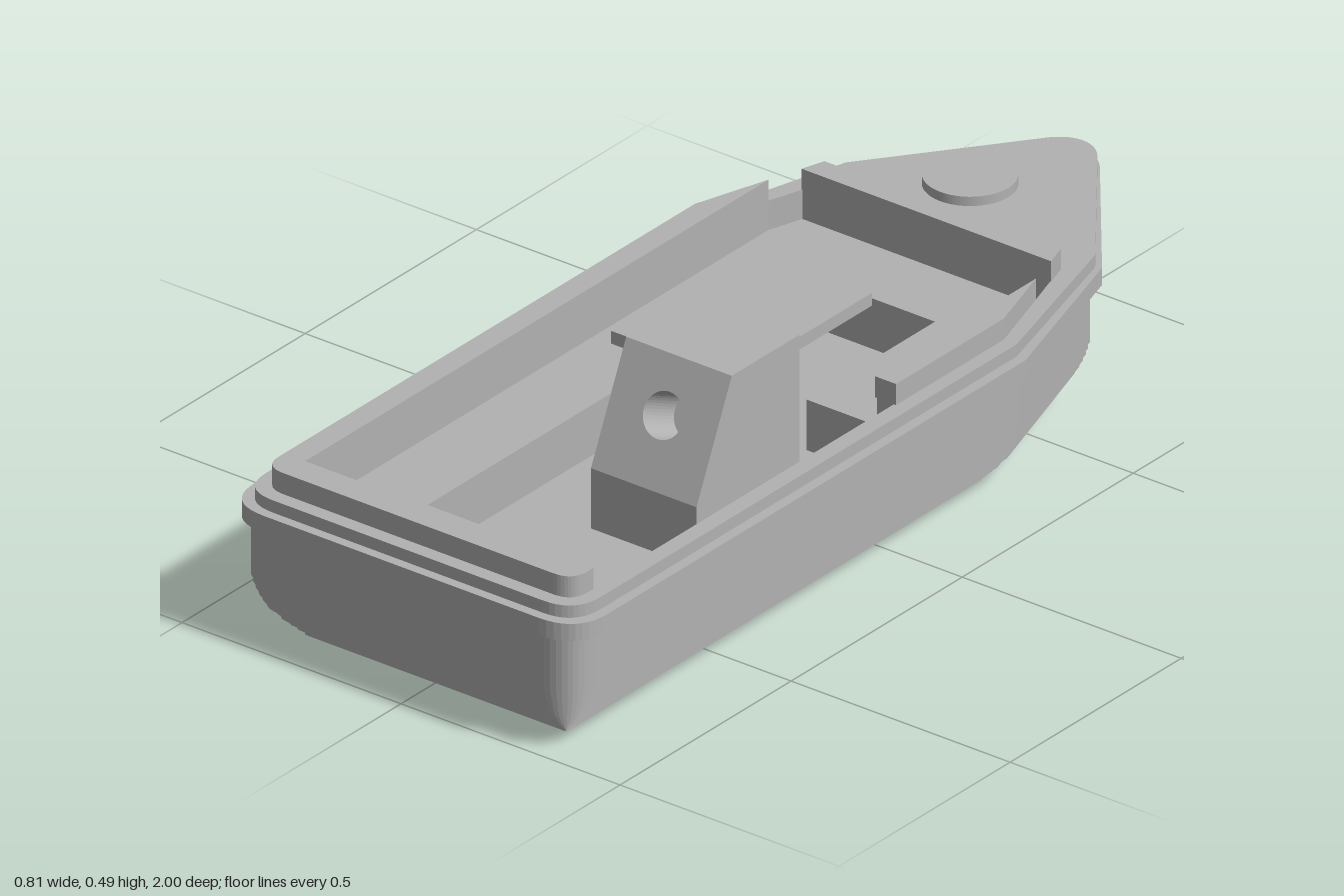
import * as THREE from 'three';

const hullGrey = new THREE.MeshStandardMaterial({ color: 0xb2b2b2 });
hullGrey.name = 'hull grey';

// Plan outlines are given in (x, z); shapes use v = -z so extrusion runs up y.
const path = (pts, Type = THREE.Shape) => new Type(pts.map(([x, z]) => new THREE.Vector2(x, -z)));

function slab(shape, y0, y1) {
  const g = new THREE.ExtrudeGeometry(shape, { depth: y1 - y0, bevelEnabled: false, curveSegments: 10 });
  return g.rotateX(-Math.PI / 2).translate(0, y0, 0);
}

// Boat outline: half width, stern, bow, forward shoulder and stern corner radius
function boatOutline(w, stern, bow, kx, kz, r) {
  const s = new THREE.Shape();
  s.moveTo(-w + r, -stern);
  s.lineTo(w - r, -stern);
  s.quadraticCurveTo(w, -stern, w, -stern + r);
  s.lineTo(w, 0.31);
  s.lineTo(kx, -kz);
  s.lineTo(0.055, -bow - 0.028);
  s.quadraticCurveTo(0.03, -bow, 0, -bow);
  s.quadraticCurveTo(-0.03, -bow, -0.055, -bow - 0.028);
  s.lineTo(-kx, -kz);
  s.lineTo(-w, 0.31);
  s.lineTo(-w, -stern + r);
  s.quadraticCurveTo(-w, -stern, -w + r, -stern);
  return s;
}

// Stern and right-hand bulwark in one piece
function bulwarkOutline() {
  const s = new THREE.Shape();
  const w = 0.353, stern = 0.95, r = 0.045;
  s.moveTo(w, -0.89);
  s.lineTo(w, -stern + r);
  s.quadraticCurveTo(w, -stern, w - r, -stern);
  s.lineTo(-w + r, -stern);
  s.quadraticCurveTo(-w, -stern, -w, -stern + r);
  s.lineTo(-w, 0.31);
  s.lineTo(-0.305, 0.465);
  s.lineTo(-0.305, -0.89);
  return s;
}

const cockpit = [[-0.305, 0.89], [0.348, 0.89], [0.348, 0], [0.305, 0], [0.305, -0.465],
  [0.283, -0.535], [-0.283, -0.535], [-0.305, -0.465]];
const footwell = [[-0.147, 0.735], [0.348, 0.735], [0.348, 0], [0.145, 0], [0.145, -0.375], [-0.147, -0.375]];

export function createModel() {
  const boat = new THREE.Group();
  boat.name = 'boat';
  const add = (name, geometry, parent = boat) => {
    const m = new THREE.Mesh(geometry, hullGrey);
    m.name = name;
    parent.add(m);
  };

  // Stepped hull: thin layers that widen upward around the footwell
  const hull = new THREE.Group();
  hull.name = 'hull';
  boat.add(hull);
  const widths = [0.3, 0.312, 0.325, 0.338, 0.347, 0.36, 0.367, 0.373, 0.378, 0.382];
  const layers = 19, step = 0.245 / layers, socketLayers = 6, floorLayers = 11;
  for (let i = 0; i < layers; i++) {
    const w = widths[i] ?? 0.385, u = (w - 0.3) / 0.085, y = i * step;
    const bow = -(0.786 + 1.55 * y - 3.2 * y * y);
    const s = boatOutline(w, 0.9 + 0.085 * u, bow, 0.2 + 0.08 * u, -0.61 - 0.045 * u, 0.005 + 0.065 * u);
    if (i < socketLayers) {
      // blind sockets in the bottom
      for (const z of [0.57, -0.185]) s.holes.push(new THREE.Path().absarc(0, -z, 0.043, 0, Math.PI * 2, true));
    } else if (i >= floorLayers) {
      s.holes.push(path(footwell, THREE.Path));
    }
    add('hullLayer', slab(s, y, y + step), hull);
  }

  // Rub rail and deck edge around the cockpit
  const rail = boatOutline(0.403, 1, -1, 0.296, -0.67, 0.09);
  const deck = boatOutline(0.382, 0.98, -0.993, 0.285, -0.664, 0.075);
  for (const s of [rail, deck]) s.holes.push(path(cockpit, THREE.Path));
  add('rubRail', slab(rail, 0.245, 0.28));
  add('deck', slab(deck, 0.28, 0.305));

  // Bulwarks: the left side stands only forward of the boarding opening
  add('sternBulwark', slab(bulwarkOutline(), 0.305, 0.348));
  add('leftBulwark', slab(path([[0.353, 0.005], [0.353, -0.31], [0.305, -0.465], [0.305, 0.005]]), 0.305, 0.348));
  add('foredeckBar', slab(path([[-0.285, -0.535], [0.285, -0.535], [0.27, -0.583], [-0.27, -0.583]]), 0.305, 0.347));

  // Round hatch on the foredeck
  add('hatch', new THREE.CylinderGeometry(0.087, 0.087, 0.02, 48).translate(-0.06, 0.314, -0.74));

  // Table on a post
  const floor = floorLayers * step;
  add('tableTop', new THREE.BoxGeometry(0.282, 0.026, 0.403).translate(-0.043, 0.328, -0.05));
  add('tablePost', new THREE.BoxGeometry(0.05, 0.315 - floor, 0.05).translate(-0.035, (0.315 + floor) / 2, -0.045));

  // Console: a body notched behind its sloping face, and a bored panel filling the notch
  const helm = new THREE.Group();
  helm.name = 'console';
  boat.add(helm);
  const x0 = 0.022, x1 = 0.263, top = [0.37, 0.49], foot = [0.473, 0.265], d = 0.1;
  const len = Math.hypot(foot[0] - top[0], foot[1] - top[1]);
  const ny = (foot[0] - top[0]) / len, nz = (top[1] - foot[1]) / len; // outward normal of the slope
  const profile = [[0.172, 0.49], top, [top[0] - nz * d, top[1] - ny * d],
    [foot[0] - nz * d, foot[1] - ny * d], foot, [foot[0], floor], [0.172, floor]];
  const body = new THREE.ExtrudeGeometry(
    new THREE.Shape(profile.map(([z, y]) => new THREE.Vector2(-z, y))), { depth: x1 - x0, bevelEnabled: false });
  add('consoleBody', body.rotateY(Math.PI / 2).translate(x0, 0, 0), helm);

  const face = new THREE.Shape([[x0, 0], [x1, 0], [x1, len], [x0, len]].map(p => new THREE.Vector2(...p)));
  face.holes.push(new THREE.Path().absarc(0.143, len * 0.55, 0.0445, 0, Math.PI * 2, true));
  const panel = new THREE.ExtrudeGeometry(face, { depth: d, bevelEnabled: false, curveSegments: 24 });
  panel.translate(0, 0, -d).rotateX(-Math.atan2(ny, nz)).translate(0, foot[1], foot[0]);
  add('consolePanel', panel, helm);

  return boat;
}
